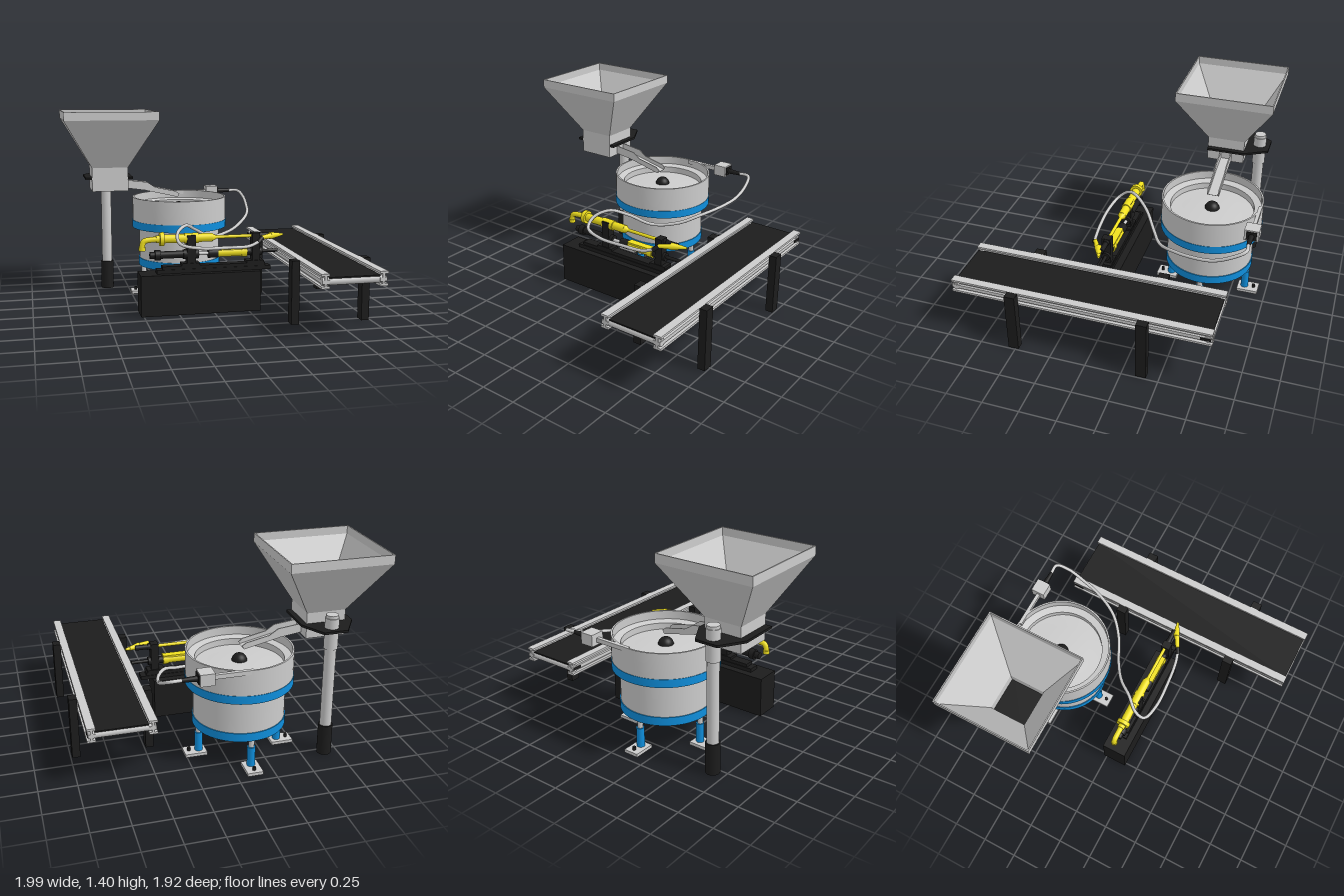
import * as THREE from 'three';
import { toCreasedNormals } from 'three/addons/utils/BufferGeometryUtils.js';

const mat = (color, side = THREE.FrontSide) => new THREE.MeshStandardMaterial({ color, side });
const GREY = mat(0xcccccc), GREY2 = mat(0xcccccc, THREE.DoubleSide);
const BLACK = mat(0x1c1c1c), BLUE = mat(0x0f8fdd), BLUE2 = mat(0x0f8fdd, THREE.DoubleSide);
const YELLOW = mat(0xf0e01e), DARK = mat(0x555555);
const V = (x, y, z) => new THREE.Vector3(x, y, z);

export function createModel() {
  const root = new THREE.Group();
  const group = (name) => {
    const g = new THREE.Group();
    g.name = name;
    root.add(g);
    return g;
  };
  const add = (parent, name, geo, m, x = 0, y = 0, z = 0) => {
    const mesh = new THREE.Mesh(geo, m);
    mesh.name = name;
    mesh.position.set(x, y, z);
    parent.add(mesh);
    return mesh;
  };
  // Box given by its limits on each axis
  const box = (p, name, m, x0, x1, y0, y1, z0, z1) =>
    add(p, name, new THREE.BoxGeometry(x1 - x0, y1 - y0, z1 - z0), m, (x0 + x1) / 2, (y0 + y1) / 2, (z0 + z1) / 2);
  // Cylinder between two points
  const rod = (p, name, m, a, b, r0, r1 = r0, n = 24) => {
    const d = b.clone().sub(a);
    const mesh = add(p, name, new THREE.CylinderGeometry(r1, r0, d.length(), n), m);
    mesh.position.copy(a).addScaledVector(d, 0.5);
    mesh.quaternion.setFromUnitVectors(V(0, 1, 0), d.normalize());
    return mesh;
  };
  const tube = (p, name, m, pts, r, n = 40) =>
    add(p, name, new THREE.TubeGeometry(new THREE.CatmullRomCurve3(pts.map((q) => V(...q))), n, r, 10), m);
  const lathe = (p, name, m, pts, n, x, z, start = 0) => add(p, name,
    toCreasedNormals(new THREE.LatheGeometry(pts.map((q) => new THREE.Vector2(...q)), n, start), 0.5), m, x, 0, z);

  // Square hopper: closed neck, funnel and upright rim
  const hopper = group('hopper');
  const k = Math.SQRT2;
  lathe(hopper, 'funnel', GREY2, [[0, 0.81], [0.133 * k, 0.81], [0.133 * k, 0.985], [0.34 * k, 1.34],
    [0.34 * k, 1.4], [0.332 * k, 1.4], [0.332 * k, 1.345], [0.127 * k, 0.988], [0.127 * k, 0.82], [0, 0.82]],
  4, -0.66, -0.56, Math.PI / 4);
  const plate = new THREE.Shape([[-0.84, 0.43], [-0.49, 0.43], [-0.49, 0.7], [-0.58, 0.86], [-0.74, 0.86], [-0.84, 0.7]]
    .map((q) => new THREE.Vector2(...q)));
  add(hopper, 'mountingPlate', new THREE.ExtrudeGeometry(plate, { depth: 0.016, bevelEnabled: false }), BLACK, 0, 0.897, 0)
    .rotation.x = -Math.PI / 2;
  const post = (name, m, y0, y1, r) => rod(hopper, name, m, V(-0.66, y0, -0.785), V(-0.66, y1, -0.785), r);
  post('postFoot', BLACK, 0, 0.215, 0.048);
  post('post', GREY, 0.215, 0.8, 0.039);
  post('postSleeve', GREY, 0.77, 0.98, 0.046);
  post('postCap', GREY, 0.98, 1.0, 0.04);

  // Open feeding chute: sloping floor between two side walls
  const chute = group('chute');
  const profile = (pts) => new THREE.Shape(pts.map((q) => new THREE.Vector2(...q)));
  const wall = profile([[-0.53, 0.82], [-0.39, 0.8], [-0.14, 0.742], [-0.125, 0.765], [-0.15, 0.785],
    [-0.31, 0.82], [-0.37, 0.86], [-0.53, 0.88]]);
  const floor = profile([[-0.53, 0.82], [-0.39, 0.8], [-0.14, 0.742], [-0.13, 0.75], [-0.39, 0.81], [-0.53, 0.83]]);
  for (const z of [-0.605, -0.528])
    add(chute, 'chuteSide', new THREE.ExtrudeGeometry(wall, { depth: 0.008, bevelEnabled: false }), GREY, 0, 0, z);
  add(chute, 'chuteFloor', new THREE.ExtrudeGeometry(floor, { depth: 0.075, bevelEnabled: false }), GREY, 0, 0, -0.6);

  // Vibratory bowl with stepped interior
  const bowl = group('bowl');
  const bx = -0.12, bz = -0.565;
  lathe(bowl, 'bowlShell', GREY2, [[0.357, 0.565], [0.357, 0.745], [0.345, 0.745], [0.345, 0.685], [0.295, 0.675],
    [0.295, 0.63], [0.2, 0.635], [0, 0.66]], 64, bx, bz);
  lathe(bowl, 'bowlBand', BLUE2, [[0.3, 0.513], [0.36, 0.513], [0.36, 0.57], [0.35, 0.57]], 64, bx, bz);
  rod(bowl, 'bowlBody', GREY, V(bx, 0.27, bz), V(bx, 0.52, bz), 0.307, 0.307, 64);
  rod(bowl, 'bowlBase', BLUE, V(bx, 0.218, bz), V(bx, 0.277, bz), 0.313, 0.313, 64);
  add(bowl, 'centreKnob', new THREE.SphereGeometry(0.052, 24, 12, 0, Math.PI * 2, 0, Math.PI / 2), BLACK, bx, 0.65, bz);
  for (let i = 0; i < 4; i++) {
    const leg = new THREE.Group();
    leg.name = 'bowlLeg';
    leg.position.set(bx, 0, bz);
    leg.rotation.y = (i * Math.PI) / 2;
    bowl.add(leg);
    box(leg, 'footPlate', GREY, 0.23, 0.38, 0, 0.022, -0.053, 0.053);
    rod(leg, 'footBolt', BLACK, V(0.345, 0.02, 0), V(0.345, 0.045, 0), 0.011);
    rod(leg, 'legSleeve', BLUE, V(0.278, 0.02, 0), V(0.278, 0.16, 0), 0.027);
    rod(leg, 'legRod', GREY, V(0.278, 0.16, 0), V(0.278, 0.22, 0), 0.019);
  }
  // Outlet rail and sensor beside the rim
  const sensor = group('sensor');
  box(sensor, 'outletRail', GREY, -0.1, 0.18, 0.715, 0.745, -0.92, -0.895);
  box(sensor, 'sensorBox', GREY, 0.16, 0.255, 0.695, 0.775, -0.96, -0.86);
  rod(sensor, 'sensorPlug', BLACK, V(0.25, 0.732, -0.91), V(0.36, 0.732, -0.91), 0.02, 0.013);
  box(sensor, 'sensorFace', BLACK, 0.245, 0.262, 0.705, 0.765, -0.945, -0.875);

  // Sensor cable sweeping over to the gun
  tube(group('cable'), 'cable', GREY, [[0.35, 0.732, -0.91], [0.43, 0.73, -0.91], [0.46, 0.69, -0.83], [0.455, 0.63, -0.7],
    [0.42, 0.6, -0.55], [0.34, 0.565, -0.39], [0.22, 0.51, -0.28], [0.05, 0.487, -0.19], [-0.09, 0.56, -0.09],
    [-0.18, 0.61, 0.02], [-0.255, 0.57, 0.11], [-0.25, 0.51, 0.18], [-0.12, 0.48, 0.212], [0.08, 0.475, 0.205],
    [0.24, 0.475, 0.185], [0.315, 0.5, 0.165]], 0.012, 160);

  // Conveyor: belt, channel rails, rollers and legs
  const conveyor = group('conveyor');
  const z0 = -0.825, z1 = 0.96;
  box(conveyor, 'belt', BLACK, 0.545, 0.885, 0.395, 0.41, z0 + 0.01, z1 - 0.01);
  box(conveyor, 'beltUnderside', DARK, 0.53, 0.9, 0.358, 0.394, z0 + 0.02, z1 - 0.02);
  for (const z of [z0 + 0.027, z1 - 0.027])
    rod(conveyor, 'roller', GREY, V(0.5, 0.383, z), V(0.925, 0.383, z), 0.025);
  for (const s of [-1, 1]) {
    const cx = 0.7125;
    const rail = (name, a, b, y0, y1) =>
      box(conveyor, name, GREY, cx + Math.min(s * a, s * b), cx + Math.max(s * a, s * b), y0, y1, z0, z1);
    rail('railWeb', 0.185, 0.2, 0.345, 0.43);
    rail('railTopLip', 0.167, 0.2225, 0.42, 0.435);
    rail('railMiddleLip', 0.167, 0.215, 0.37, 0.395);
    rail('railBottomLip', 0.167, 0.2225, 0.34, 0.355);
    box(conveyor, 'railSlot', BLACK, cx + s * 0.217 - 0.002, cx + s * 0.217 + 0.002, 0.373, 0.392, -0.815, -0.745);
    for (const z of [-0.38, 0.515])
      box(conveyor, 'conveyorLeg', BLACK, cx + s * 0.25 - 0.027, cx + s * 0.25 + 0.027, 0, 0.435, z - 0.036, z + 0.036);
  }

  // Pedestal with stepped mounting rails
  const stand = group('toolStand');
  box(stand, 'pedestal', BLACK, -0.52, 0.335, 0, 0.288, -0.02, 0.157);
  box(stand, 'slideRail', BLACK, -0.4, 0.42, 0.288, 0.315, 0.03, 0.11);
  box(stand, 'carriage', BLACK, -0.36, 0.38, 0.315, 0.338, 0.035, 0.105);
  for (const [a, b] of [[-0.185, -0.125], [0.285, 0.34]]) {
    box(stand, 'bracketFoot', BLACK, a - 0.04, b + 0.03, 0.338, 0.355, 0.03, 0.11);
    box(stand, 'bracket', BLACK, a, b, 0.34, 0.552, 0.04, 0.105);
  }
  // Tools are strings of coaxial segments [x0, x1, radius, material, end radius]
  const string = (p, name, y, z, segs) => segs.forEach(([a, b, r, m, r1 = r]) =>
    rod(p, name, m, V(a, y, z), V(b, y, z), r, r1));
  const lower = group('lowerDriver');
  string(lower, 'driverSegment', 0.415, 0.07, [[-0.445, -0.41, 0.024, BLACK], [-0.41, -0.37, 0.036, BLACK],
    [-0.37, -0.21, 0.026, BLACK], [-0.21, -0.1, 0.034, BLACK], [-0.1, -0.03, 0.012, GREY], [-0.03, 0.04, 0.034, BLACK],
    [0.04, 0.21, 0.03, YELLOW], [0.21, 0.25, 0.036, YELLOW], [0.25, 0.28, 0.026, BLACK], [0.28, 0.36, 0.03, BLACK],
    [0.36, 0.48, 0.012, BLACK]]);
  const upper = group('upperDriver');
  string(upper, 'driverSegment', 0.528, 0.068, [[-0.4, -0.37, 0.026, YELLOW], [-0.375, -0.345, 0.048, YELLOW],
    [-0.345, -0.2, 0.03, YELLOW], [-0.2, -0.1, 0.036, YELLOW], [-0.1, 0.0, 0.03, YELLOW], [0.0, 0.03, 0.028, YELLOW, 0.012],
    [0.03, 0.3, 0.012, YELLOW], [0.3, 0.36, 0.022, BLACK], [0.36, 0.45, 0.018, BLACK]]);
  tube(upper, 'hookedPipe', YELLOW, [[-0.38, 0.528, 0.068], [-0.44, 0.525, 0.068], [-0.485, 0.515, 0.068],
    [-0.498, 0.48, 0.068], [-0.498, 0.455, 0.068]], 0.02, 24);
  rod(upper, 'pipeMouth', YELLOW, V(-0.498, 0.475, 0.068), V(-0.498, 0.45, 0.068), 0.023);
  box(upper, 'yellowCover', YELLOW, 0.04, 0.25, 0.436, 0.45, 0.045, 0.098);
  // Angled gun at the cable's end
  const gun = group('gun');
  rod(gun, 'gunHandle', YELLOW, V(0.34, 0.525, 0.148), V(0.43, 0.528, 0.1), 0.014, 0.02);
  rod(gun, 'gunBody', YELLOW, V(0.415, 0.528, 0.1), V(0.49, 0.528, 0.072), 0.026, 0.014);
  rod(gun, 'gunNozzle', YELLOW, V(0.48, 0.528, 0.076), V(0.52, 0.528, 0.062), 0.014, 0.008);
  rod(gun, 'cableGland', BLACK, V(0.31, 0.495, 0.168), V(0.345, 0.524, 0.146), 0.016);
  return root;
}
